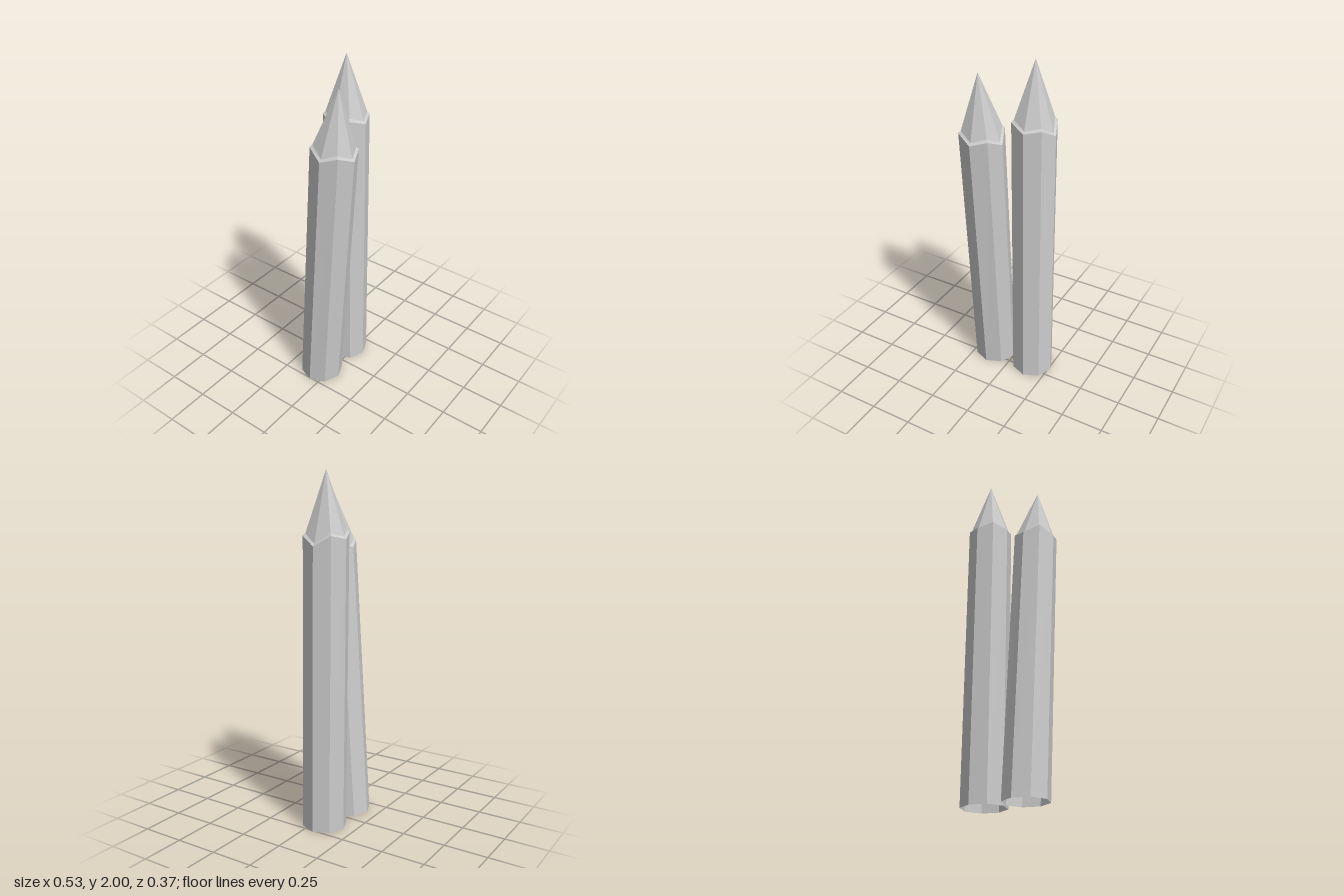
import * as THREE from 'three';

const SIDES = 8;
const RADIUS = 0.127;

// One ring of corners, starting at the front (+z) and turning towards +x.
function ring(cx, cz, radius, heights) {
  return Array.from({ length: SIDES }, (_, i) => {
    const a = (i / SIDES) * Math.PI * 2;
    return [cx + Math.sin(a) * radius, heights[i], cz + Math.cos(a) * radius];
  });
}

// Faceted skin joining successive rings.
function skin(name, rings, material) {
  const positions = [];
  for (let r = 0; r < rings.length - 1; r++) {
    const lower = rings[r], upper = rings[r + 1];
    for (let i = 0; i < SIDES; i++) {
      const j = (i + 1) % SIDES;
      positions.push(...lower[i], ...lower[j], ...upper[j]);
      positions.push(...lower[i], ...upper[j], ...upper[i]);
    }
  }
  const geometry = new THREE.BufferGeometry();
  geometry.setAttribute('position', new THREE.Float32BufferAttribute(positions, 3));
  geometry.computeVertexNormals();
  const mesh = new THREE.Mesh(geometry, material);
  mesh.name = name;
  return mesh;
}

// Leaning octagonal stake, open at the bottom, with a rough-cut rim and point.
function createStake(name, { base, top, rim, tip }, material) {
  const foot = ring(...base, RADIUS, Array(SIDES).fill(0));
  const edge = ring(...top, RADIUS, rim);
  const collar = ring(...top, 0.113, rim.map((y) => y + 0.013));
  const point = Array.from({ length: SIDES }, () => tip);
  const stake = new THREE.Group();
  stake.name = name;
  stake.add(
    skin('shaft', [foot, edge], material),
    skin('bevel', [edge, collar], material),
  );

  // Pointed tip: one triangle per side
  const positions = [];
  collar.forEach((p, i) => positions.push(...p, ...collar[(i + 1) % SIDES], ...point[i]));
  const geometry = new THREE.BufferGeometry();
  geometry.setAttribute('position', new THREE.Float32BufferAttribute(positions, 3));
  geometry.computeVertexNormals();
  const mesh = new THREE.Mesh(geometry, material);
  mesh.name = 'point';
  stake.add(mesh);
  return stake;
}

export function createModel() {
  const material = new THREE.MeshStandardMaterial({
    color: 0xcccccc, flatShading: true, side: THREE.DoubleSide,
  });
  const model = new THREE.Group();
  model.name = 'stakes';
  model.add(
    // Taller, nearly upright stake
    createStake('leftStake', {
      base: [0.136, -0.058],
      top: [0.118, -0.058],
      rim: [1.635, 1.655, 1.605, 1.66, 1.64, 1.67, 1.64, 1.67],
      tip: [0.118, 2, -0.058],
    }, material),
    // Shorter stake leaning forward
    createStake('rightStake', {
      base: [-0.132, -0.058],
      top: [-0.138, 0.055],
      rim: [1.555, 1.58, 1.54, 1.6, 1.575, 1.61, 1.565, 1.595],
      tip: [-0.138, 1.925, 0.083],
    }, material),
  );
  return model;
}
